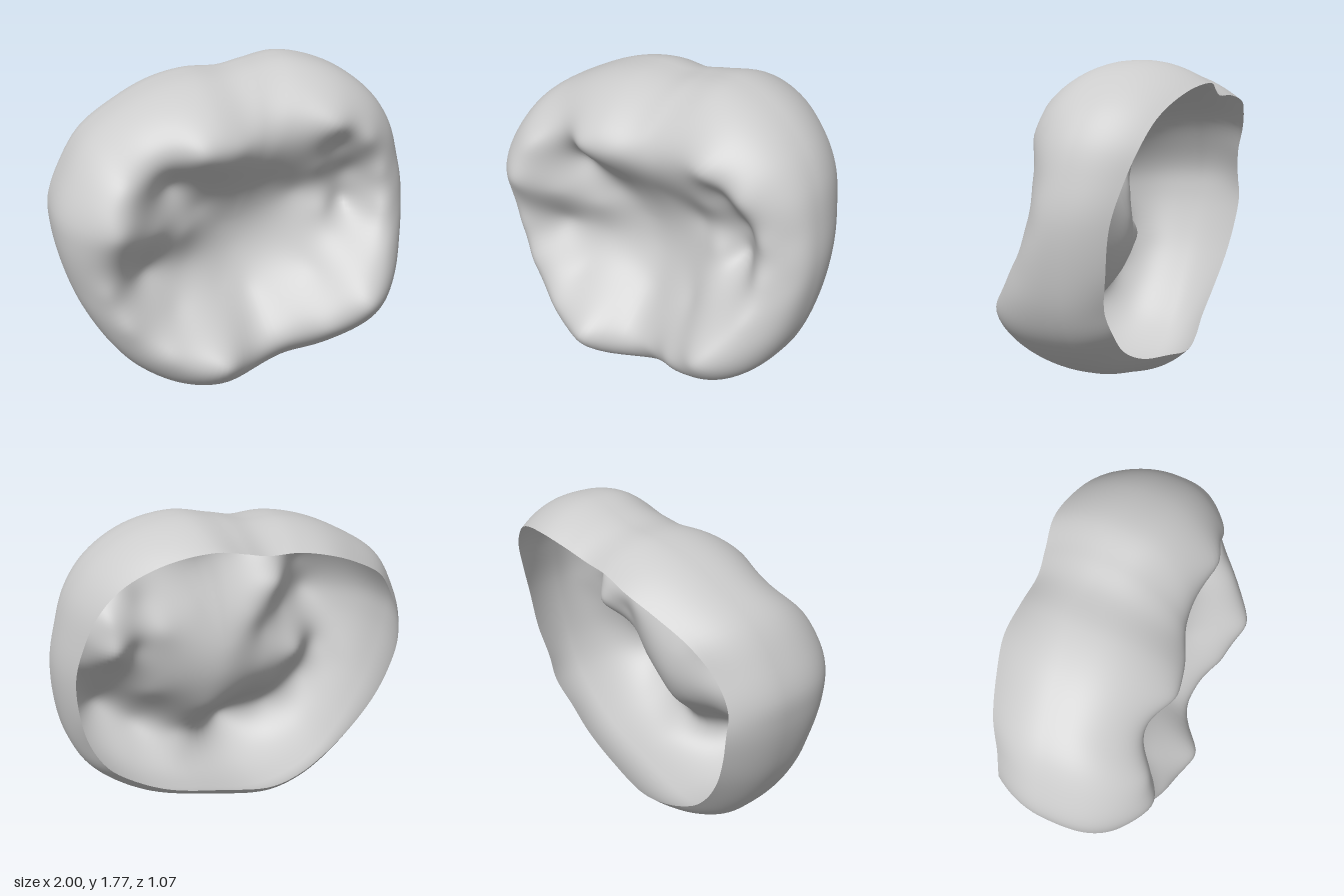
import * as THREE from 'three';

const CENTRE_Y = 0.9;
const SEGMENTS = 160;
const FRONT_ROWS = 72;
const BACK_ROWS = 10;

// Widest outline seen from the front: x, y, and depth of the open back edge
const OUTLINE = [
  [1.0, 1.0, -0.26], [0.97, 1.2, -0.31], [0.91, 1.4, -0.37], [0.8, 1.56, -0.42], [0.6, 1.7, -0.49],
  [0.35, 1.765, -0.53], [0.15, 1.735, -0.5], [0, 1.705, -0.48], [-0.2, 1.705, -0.49], [-0.4, 1.66, -0.5],
  [-0.6, 1.57, -0.46], [-0.8, 1.44, -0.4], [-0.92, 1.27, -0.34], [-0.99, 1.1, -0.32], [-0.99, 0.95, -0.33],
  [-0.95, 0.75, -0.31], [-0.88, 0.55, -0.28], [-0.75, 0.32, -0.24], [-0.6, 0.15, -0.22], [-0.4, 0.04, -0.24],
  [-0.17, 0, -0.26], [0.2, 0.07, -0.25], [0.5, 0.15, -0.22], [0.7, 0.26, -0.2], [0.85, 0.4, -0.21],
  [0.93, 0.55, -0.2], [0.98, 0.75, -0.23],
];
const outlinePoints = new THREE.CatmullRomCurve3(
  OUTLINE.map(([x, y, z]) => new THREE.Vector3(x, y - CENTRE_Y, z)), true, 'centripetal',
).getPoints(SEGMENTS * 4).slice(0, -1);

// Landmarks around the rim: x, y, z (cusps and the dips between them)
const RIM = [
  [-0.7, 1.05, 0.47], [-0.25, 1.4, 0.38], [0.5, 1.47, 0.3], [0.65, 0.5, 0.51], [-0.15, 0.26, 0.53],
  [-0.52, 1.4, 0.3], [0.15, 1.45, 0.27], [0.7, 1.36, 0.25], [0.8, 1.15, 0.2], [0.81, 0.95, 0.23],
  [0.8, 0.75, 0.33], [0.2, 0.27, 0.37], [0.42, 0.35, 0.45], [-0.45, 0.32, 0.46], [-0.67, 0.5, 0.4],
  [-0.76, 0.7, 0.38], [-0.63, 1.28, 0.4], [-0.03, 1.42, 0.34],
];
// Landmarks of the grooves and slopes inside the rim
const HOLLOW = [
  [-0.4, 1.2, 0.2], [-0.22, 1.04, 0.13], [-0.07, 0.9, 0.06], [0, 0.74, 0.05], [0.2, 0.88, 0.06],
  [0.35, 1.05, 0.08], [0.64, 0.95, 0.06], [0.66, 1.15, 0.1], [-0.3, 0.72, 0.14], [-0.56, 0.73, 0.23],
  [-0.1, 0.56, 0.15], [0.05, 0.5, 0.16], [0.05, 0.37, 0.29], [-0.38, 0.5, 0.29], [0.4, 0.62, 0.24],
  [-0.48, 1.0, 0.32], [-0.3, 0.92, 0.18], [-0.1, 1.2, 0.22], [0.15, 1.15, 0.14], [0.55, 1.34, 0.2],
  [0.45, 1.2, 0.16], [0.5, 0.95, 0.12],
];

// Rounded fall of the surface from the centre (k = 0) to the widest outline (k = 1)
const dome = (k) => Math.cbrt(1 - k ** 3);

// Depth of the widest outline, lower at the top of the crown
function waistDepth(x, y) {
  const s = y / Math.hypot(x, y);
  return -0.02 - 0.11 * s - 0.07 * s * s;
}

// Radius of the outline in the direction of a point
function outlineRadius(x, y) {
  const d = Math.hypot(x, y);
  let best = -Infinity, radius = 1;
  for (const p of outlinePoints) {
    const r = Math.hypot(p.x, p.y);
    const match = (p.x * x + p.y * y) / (r * d);
    if (match > best) [best, radius] = [match, r];
  }
  return radius;
}

// Landmarks as [x, y, swell]; rim ones are also carried down the wall
const anchors = [];
for (const [x, height, z] of [...RIM, ...HOLLOW]) {
  const y = height - CENTRE_Y;
  const k = Math.hypot(x, y) / outlineRadius(x, y);
  const swell = (z - waistDepth(x, y) * k * k) / dome(k);
  anchors.push([x, y, swell]);
  if (anchors.length && k > 0.6 && RIM.some((p) => p[0] === x && p[1] === height)) {
    anchors.push([x * 0.97 / k, y * 0.97 / k, swell]);
  }
}

const BASE = 0.35;
const kernel = (dx, dy) => Math.sqrt(dx * dx + dy * dy + 0.004);

// Weights that make a smooth surface pass through every anchor
function solveWeights(points) {
  const n = points.length;
  const m = points.map((p) => [...points.map((q) => kernel(p[0] - q[0], p[1] - q[1])), p[2] - BASE]);
  for (let c = 0; c < n; c++) {
    let pivot = c;
    for (let r = c + 1; r < n; r++) if (Math.abs(m[r][c]) > Math.abs(m[pivot][c])) pivot = r;
    [m[c], m[pivot]] = [m[pivot], m[c]];
    for (let r = 0; r < n; r++) {
      if (r === c) continue;
      const f = m[r][c] / m[c][c];
      for (let k = c; k <= n; k++) m[r][k] -= f * m[c][k];
    }
  }
  return m.map((row, i) => row[n] / row[i]);
}

const weights = solveWeights(anchors);
const swellAt = (x, y) =>
  anchors.reduce((sum, a, i) => sum + weights[i] * kernel(x - a[0], y - a[1]), BASE);

// One section from the centre, over the rim, down the wall to the back edge
function section(p) {
  const waist = waistDepth(p.x, p.y);
  const r = Math.hypot(p.x, p.y), s = p.y / r;
  const backScale = 0.92 - 0.07 * s * s + 0.02 * p.x / r;
  const out = [];
  const add = (k, z) => out.push(p.x * k, CENTRE_Y + p.y * k, z);
  for (let j = 0; j <= FRONT_ROWS; j++) {
    const k = Math.sin(j / FRONT_ROWS * Math.PI / 2);
    add(k, waist * k * k + swellAt(p.x * k, p.y * k) * dome(k));
  }
  for (let j = 1; j <= BACK_ROWS; j++) {
    const t = j / BACK_ROWS;
    add(1 - (1 - backScale) * t * t, waist + (p.z - waist) * t);
  }
  return out;
}

export function createModel() {
  // Thin shell, closed at the front and open at the back
  const rows = FRONT_ROWS + BACK_ROWS + 1;
  const positions = [], indices = [];
  for (let i = 0; i < SEGMENTS; i++) {
    positions.push(...section(outlinePoints[i * 4]));
    const here = i * rows, next = ((i + 1) % SEGMENTS) * rows;
    for (let j = 0; j < rows - 1; j++) {
      // the innermost row meets in one shared centre point
      const a = j === 0 ? 0 : here + j;
      const b = here + j + 1, c = next + j + 1;
      indices.push(a, b, c);
      if (j > 0) indices.push(a, c, next + j);
    }
  }
  const geometry = new THREE.BufferGeometry();
  geometry.setAttribute('position', new THREE.Float32BufferAttribute(positions, 3));
  geometry.setIndex(indices);
  geometry.computeVertexNormals();

  const crown = new THREE.Mesh(geometry,
    new THREE.MeshStandardMaterial({ color: 0xcccccc, side: THREE.DoubleSide }));
  crown.name = 'toothCrown';
  const group = new THREE.Group();
  group.name = 'molarCrown';
  group.add(crown);
  return group;
}
